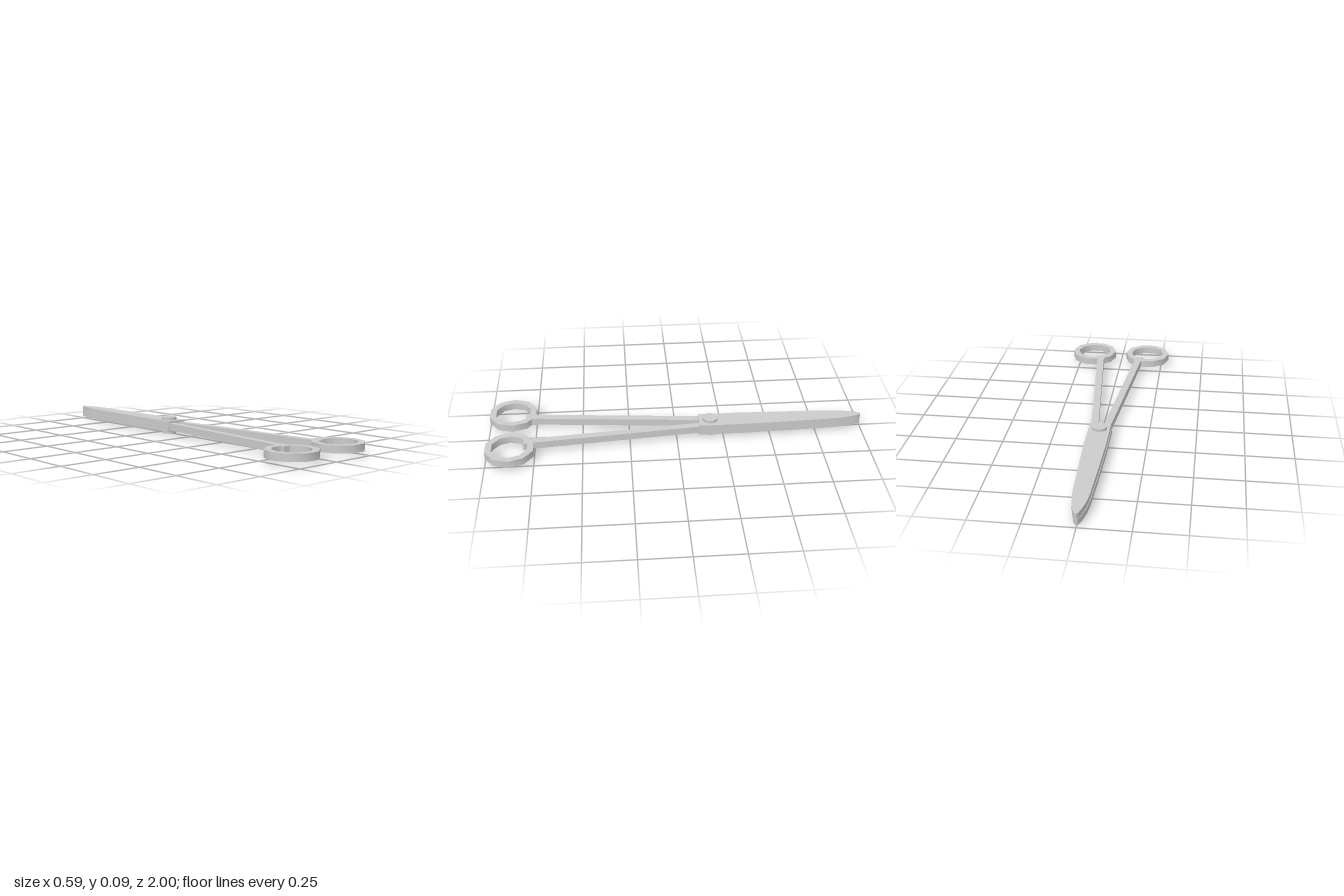
import * as THREE from 'three';
import { toCreasedNormals } from 'three/addons/utils/BufferGeometryUtils.js';

const material = new THREE.MeshStandardMaterial({ color: 0xcccccc });

// Flat slab: outline and holes as [x, z] points, filled between heights y0 and y1
function slab(points, y0, y1, holes = []) {
  const toVectors = (list) => list.map(([x, z]) => new THREE.Vector2(x, -z));
  const shape = new THREE.Shape(toVectors(points));
  for (const hole of holes) shape.holes.push(new THREE.Path(toVectors(hole)));
  const geometry = new THREE.ExtrudeGeometry(shape, { depth: y1 - y0, bevelEnabled: false });
  return geometry.rotateX(-Math.PI / 2).translate(0, y0, 0);
}

// Counter-clockwise seen from above, so that walls of holes face inwards
function decagon(x, z, radius) {
  return Array.from({ length: 10 }, (_, i) => {
    const a = (i * Math.PI) / 5;
    return [x + radius * Math.cos(a), z - radius * Math.sin(a)];
  });
}

export function createModel() {
  const group = new THREE.Group();
  const add = (name, geometry) => {
    const mesh = new THREE.Mesh(toCreasedNormals(geometry, 0.7), material);
    mesh.name = name;
    group.add(mesh);
  };

  // Two stacked blades, slightly offset sideways
  const half = [[0.056, -0.12], [0.056, -0.35], [0.049, -0.6], [0.041, -0.83],
    [0.034, -0.9], [0.02, -0.965], [0.012, -0.99], [0.004, -1]];
  const outline = [...half, ...half.map(([x, z]) => [-x, z]).reverse()];
  add('upperBlade', slab(outline, 0.045, 0.074).translate(0.0015, 0, 0));
  add('lowerBlade', slab(outline, 0.015, 0.045).translate(-0.0015, 0, 0));

  // Mirrored shanks and finger rings
  const shank = [[0.01, -0.16], [0.048, -0.16], [0.132, 0.74], [0.142, 0.805], [0.09, 0.805], [0.093, 0.74]];
  for (const side of [1, -1]) {
    const label = side > 0 ? 'left' : 'right';
    add(label + 'Shank', slab(shank.map(([x, z]) => [side * x, z]), 0.026, 0.064));
    const x = side * 0.164;
    add(label + 'FingerRing',
      slab(decagon(x, 0.875, 0.131), 0.026, 0.064, [decagon(x, 0.875, 0.096)]));
  }

  // Pivot rivet through both blades
  add('pivot', new THREE.CylinderGeometry(0.04, 0.04, 0.089, 20).translate(0, 0.0445, -0.183));
  return group;
}
